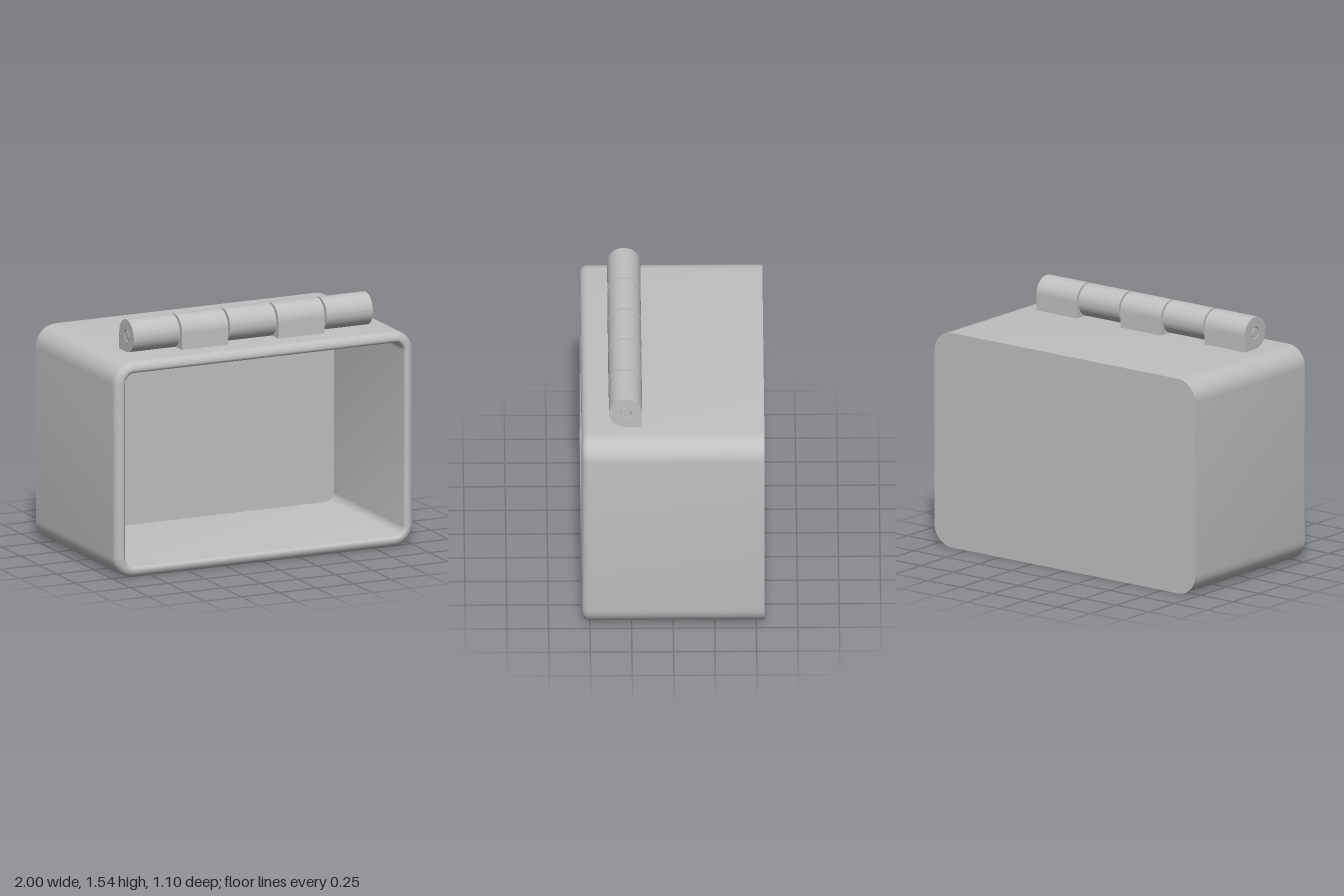
import * as THREE from 'three';
import { toCreasedNormals } from 'three/addons/utils/BufferGeometryUtils.js';

const W = 2, H = 1.335, CORNER = 0.13, STEPS = 10;

// Outline of the case, inset from the outside, counter-clockwise seen from the front
function roundedRing(inset, z) {
  const r = CORNER - inset, cx = W / 2 - CORNER, cy = H / 2 - CORNER;
  const signs = [[1, 1], [-1, 1], [-1, -1], [1, -1]];
  const ring = [];
  signs.forEach(([sx, sy], q) => {
    for (let i = 0; i <= STEPS; i++) {
      const a = (q + i / STEPS) * Math.PI / 2;
      ring.push([sx * cx + r * Math.cos(a), H / 2 + sy * cy + r * Math.sin(a), z]);
    }
  });
  return ring;
}

// Joins rings of equal length into one skin
function loft(rings) {
  const n = rings[0].length, index = [];
  for (let k = 0; k < rings.length - 1; k++) {
    for (let i = 0; i < n; i++) {
      const j = (i + 1) % n;
      const a = k * n + i, b = k * n + j, c = a + n, d = b + n;
      if (k > 0) index.push(a, b, c);
      if (k < rings.length - 2) index.push(b, d, c);
    }
  }
  const geometry = new THREE.BufferGeometry();
  geometry.setAttribute('position', new THREE.Float32BufferAttribute(rings.flat(2), 3));
  geometry.setIndex(index);
  return toCreasedNormals(geometry.toNonIndexed(), 0.6);
}

// Hollow case: outer wall, rounded rim, inner wall and floor of the cavity
function caseGeometry() {
  const back = roundedRing(0, -0.55);
  const centre = z => back.map(() => [0, H / 2, z]);
  const rings = [centre(-0.55), back];
  for (let i = 0; i <= 6; i++) {
    const a = i / 6 * Math.PI / 2;
    rings.push(roundedRing(0.047 * (1 - Math.cos(a)), 0.503 + 0.047 * Math.sin(a)));
  }
  for (let i = 1; i <= 4; i++) {
    const a = i / 4 * Math.PI / 2;
    rings.push(roundedRing(0.047 + 0.02 * Math.sin(a), 0.53 + 0.02 * Math.cos(a)));
  }
  rings.push(roundedRing(0.067, -0.42), centre(-0.42));
  return loft(rings);
}

// Hinge knuckle: round barrel with a square foot on one side and a bore
function knuckleGeometry(length, side) {
  const R = 0.1, drop = 0.103;
  const shape = new THREE.Shape();
  shape.moveTo(0, -drop);
  shape.lineTo(R, -drop);
  shape.lineTo(R, 0);
  shape.absarc(0, 0, R, 0, Math.PI * 1.5, false);
  shape.closePath();
  const bore = new THREE.Path();
  bore.absarc(0, 0, 0.035, 0, Math.PI * 2, true);
  shape.holes.push(bore);
  const geometry = new THREE.ExtrudeGeometry(shape, { depth: length, bevelEnabled: false, curveSegments: 36 });
  geometry.translate(0, 0, -length / 2);
  geometry.rotateY(side > 0 ? -Math.PI / 2 : Math.PI / 2);
  return toCreasedNormals(geometry, 0.6);
}

export function createModel() {
  const grey = new THREE.MeshStandardMaterial({ color: 0xc0c0c0 });
  grey.name = 'plain grey';
  const model = new THREE.Group();
  model.name = 'hingedCase';

  const body = new THREE.Mesh(caseGeometry(), grey);
  body.name = 'case';
  model.add(body);

  // Hinge: five knuckles whose feet alternate back and front, on one pin
  const hinge = new THREE.Group();
  hinge.name = 'hinge';
  hinge.position.set(0, 1.436, 0.285);
  const length = 0.309, pitch = (1.6 - length) / 4;
  for (let i = 0; i < 5; i++) {
    const knuckle = new THREE.Mesh(knuckleGeometry(length, i % 2 ? 1 : -1), grey);
    knuckle.name = 'knuckle';
    knuckle.position.x = (i - 2) * pitch;
    hinge.add(knuckle);
  }
  const pin = new THREE.Mesh(new THREE.CylinderGeometry(0.03, 0.03, 1.6, 32), grey);
  pin.name = 'hingePin';
  pin.rotation.z = Math.PI / 2;
  hinge.add(pin);
  model.add(hinge);
  return model;
}
